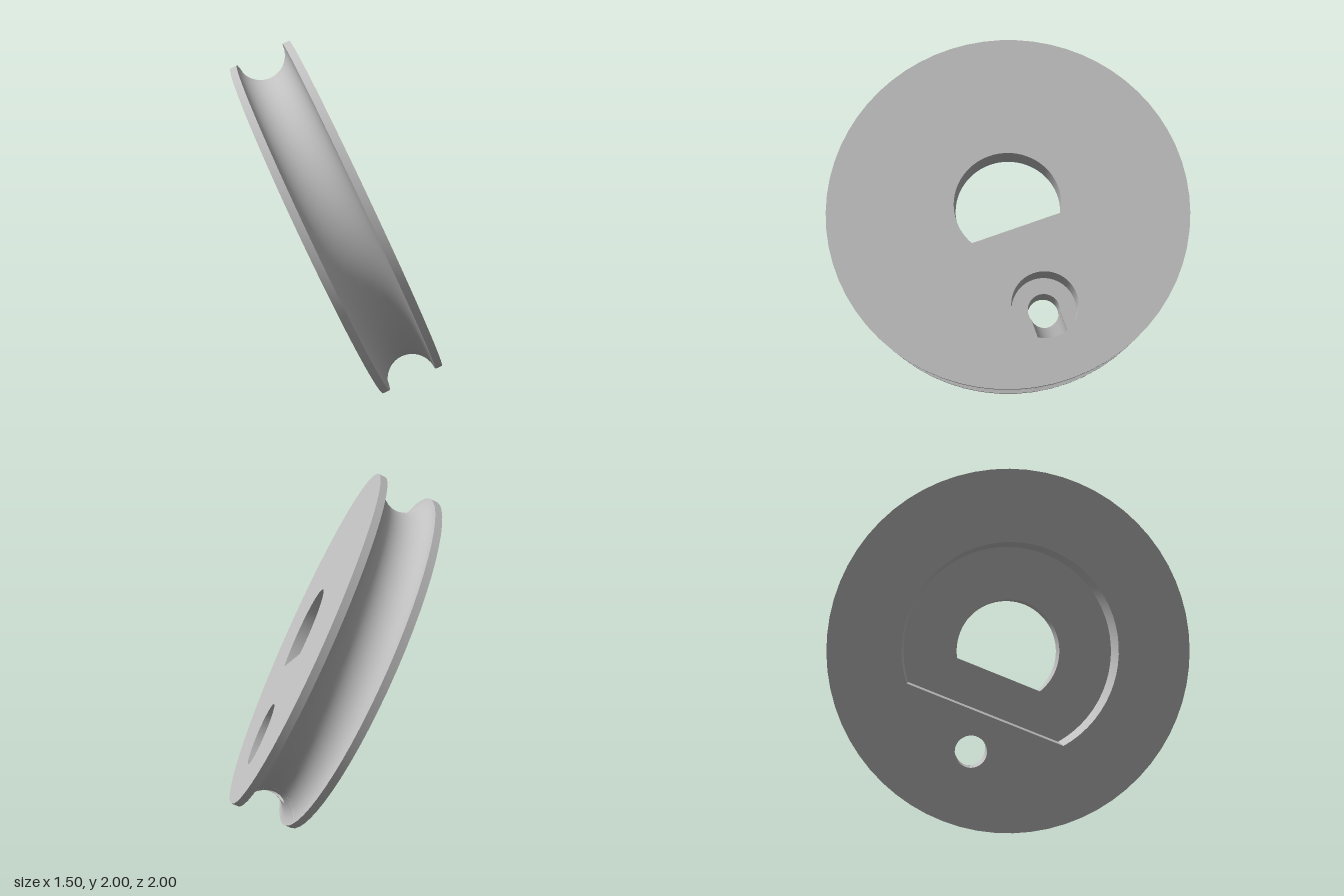
import * as THREE from 'three';
import { mergeGeometries, toCreasedNormals } from 'three/addons/utils/BufferGeometryUtils.js';

// Wheel frame: x points along the hole axis line, z along the axle, z = 0 is the mid plane
const R = 1.02, H = 0.18, GROOVE = 0.14, SEG = 64;
const STEP = (Math.PI * 2) / SEG;
const BORE = { s: 0.605, big: 0.182, small: 0.09, cord: 0.085 };
const FLOOR = -H + 0.213; // floor of the wide recess

const { sin, cos, asin, acos, sqrt, abs, max, PI } = Math;

// Surface from a grid of points f(i, j)
function grid(nu, nv, f) {
  const pos = [], idx = [];
  for (let j = 0; j <= nv; j++) for (let i = 0; i <= nu; i++) pos.push(...f(i, j));
  for (let j = 0; j < nv; j++) {
    for (let i = 0; i < nu; i++) {
      const a = j * (nu + 1) + i, b = a + 1, c = b + nu + 1, d = a + nu + 1;
      idx.push(a, b, c, a, c, d);
    }
  }
  const g = new THREE.BufferGeometry();
  g.setAttribute('position', new THREE.Float32BufferAttribute(pos, 3));
  g.setIndex(idx);
  return g;
}

const arc = (r, a0, a1, n, cx = 0) => Array.from({ length: n + 1 }, (_, i) => {
  const a = a0 + ((a1 - a0) * i) / n;
  return new THREE.Vector2(cx + r * cos(a), r * sin(a));
});

// Circle with one flat side facing +x
const dOutline = (r, flat) => arc(r, acos(flat / r), 2 * PI - acos(flat / r), 48);

// Inward-facing wall around a closed outline
function wall(loop, z0, z1) {
  const n = loop.length;
  return grid(n, 1, (i, j) => [loop[i % n].x, loop[i % n].y, j ? z0 : z1]);
}

// Flat face with holes; flipped faces look towards -z
function face(outline, holes, z, flip = false) {
  const shape = new THREE.Shape(outline);
  for (const h of holes) shape.holes.push(new THREE.Path(h));
  const g = new THREE.ShapeGeometry(shape);
  if (flip) g.rotateX(PI);
  g.translate(0, 0, z);
  g.deleteAttribute('uv');
  g.deleteAttribute('normal');
  return g;
}

// Point on the rope groove at wheel angle a and groove angle t
function groovePoint(a, t) {
  const rho = R - GROOVE * cos(t);
  return [rho * cos(a), rho * sin(a), GROOVE * sin(t)];
}

// Where the cord hole leaves the groove, at angle k round the hole
function cordEdge(k) {
  const t = asin((BORE.cord * sin(k)) / GROOVE);
  return [asin((BORE.cord * cos(k)) / (R - GROOVE * cos(t))), t];
}

export function createModel() {
  const grey = new THREE.MeshStandardMaterial({ color: 0xc0c0c0, side: THREE.DoubleSide });
  grey.name = 'grey';
  const wheel = new THREE.Group();
  wheel.name = 'pulleyWheel';
  const add = (name, ...parts) => {
    const mesh = new THREE.Mesh(toCreasedNormals(mergeGeometries(parts), PI / 6), grey);
    mesh.name = name;
    wheel.add(mesh);
  };

  const rim = arc(R, 0, 2 * PI - STEP, SEG - 1);
  const smallD = dOutline(0.302, 0.15);
  const largeD = dOutline(0.61, 0.385);
  const circle = (r) => arc(r, 0, 2 * PI - STEP, SEG - 1, BORE.s);

  // Side faces
  add('shaftSideFace', face(rim, [smallD, circle(BORE.big)], H));
  add('recessSideFace', face(rim, [largeD, circle(BORE.small)], -H, true));

  // Two narrow rims
  for (const [name, z0, z1] of [['recessSideRim', -H, -GROOVE], ['shaftSideRim', GROOVE, H]]) {
    add(name, grid(SEG, 1, (i, j) => [R * cos(i * STEP), R * sin(i * STEP), j ? z1 : z0]));
  }

  // Round groove, with a patch of it fitted around the cord hole
  const gap = 2 * STEP;
  const groove = grid(SEG - 4, 20, (i, j) => groovePoint(gap + i * STEP, PI * (j / 20 - 0.5)));
  const patch = grid(48, 6, (i, j) => {
    const k = (i / 48) * 2 * PI, m = max(abs(cos(k)), abs(sin(k))), e = cordEdge(k), f = j / 6;
    const a = (gap * cos(k)) / m, t = ((PI / 2) * sin(k)) / m;
    return groovePoint(a + (e[0] - a) * f, t + (e[1] - t) * f);
  });
  add('ropeGroove', groove, patch);

  // Flat-sided recess and shaft hole
  add('recessWall', wall(largeD, -H, FLOOR));
  add('recessFloor', face(largeD, [smallD], FLOOR, true));
  add('shaftHoleWall', wall(smallD, FLOOR, H));

  // Stepped bore, both walls notched where the cord hole crosses
  const notch = (r, b) => {
    const p = r * sin(b);
    return cos(b) > 0 && abs(p) < BORE.cord ? sqrt(BORE.cord ** 2 - p * p) : 0;
  };
  const boreWall = (r, top, bottom) => grid(128, 1, (i, j) => {
    const b = (i / 128) * 2 * PI;
    return [BORE.s + r * cos(b), r * sin(b), j ? bottom(b) : top(b)];
  });
  add('knotBoreWall', boreWall(BORE.big, () => H, (b) => notch(BORE.big, b)));
  add('smallBoreWall', boreWall(BORE.small, (b) => -notch(BORE.small, b), () => -H));
  const b0 = asin(BORE.cord / BORE.big), c0 = asin(BORE.cord / BORE.small);
  add('knotBoreFloor', face([
    ...arc(BORE.big, b0, 2 * PI - b0, 48, BORE.s),
    ...arc(BORE.small, 2 * PI - c0, c0, 32, BORE.s),
  ], [], 0));

  // Cord hole: upper half starts at the wide bore, lower half at the small one
  const tunnel = (k0, r) => grid(24, 1, (i, j) => {
    const k = k0 + (i / 24) * PI, p = BORE.cord * cos(k);
    if (!j) return groovePoint(...cordEdge(k));
    return [BORE.s + sqrt(r * r - p * p), p, BORE.cord * sin(k)];
  });
  add('cordHole', tunnel(0, BORE.big), tunnel(PI, BORE.small));

  // Tilt the wheel
  const n = new THREE.Vector3(0.804, 0.4205, -0.4205).normalize();
  const u = new THREE.Vector3(0, 1, 1).normalize();
  const v = n.clone().cross(u);
  const d = u.multiplyScalar(-0.946).addScaledVector(v, 0.326).normalize();
  const q = n.clone().cross(d);
  wheel.quaternion.setFromRotationMatrix(new THREE.Matrix4().makeBasis(d, q, n));
  wheel.position.y = 1;

  const model = new THREE.Group();
  model.name = 'pulley';
  model.add(wheel);
  return model;
}
